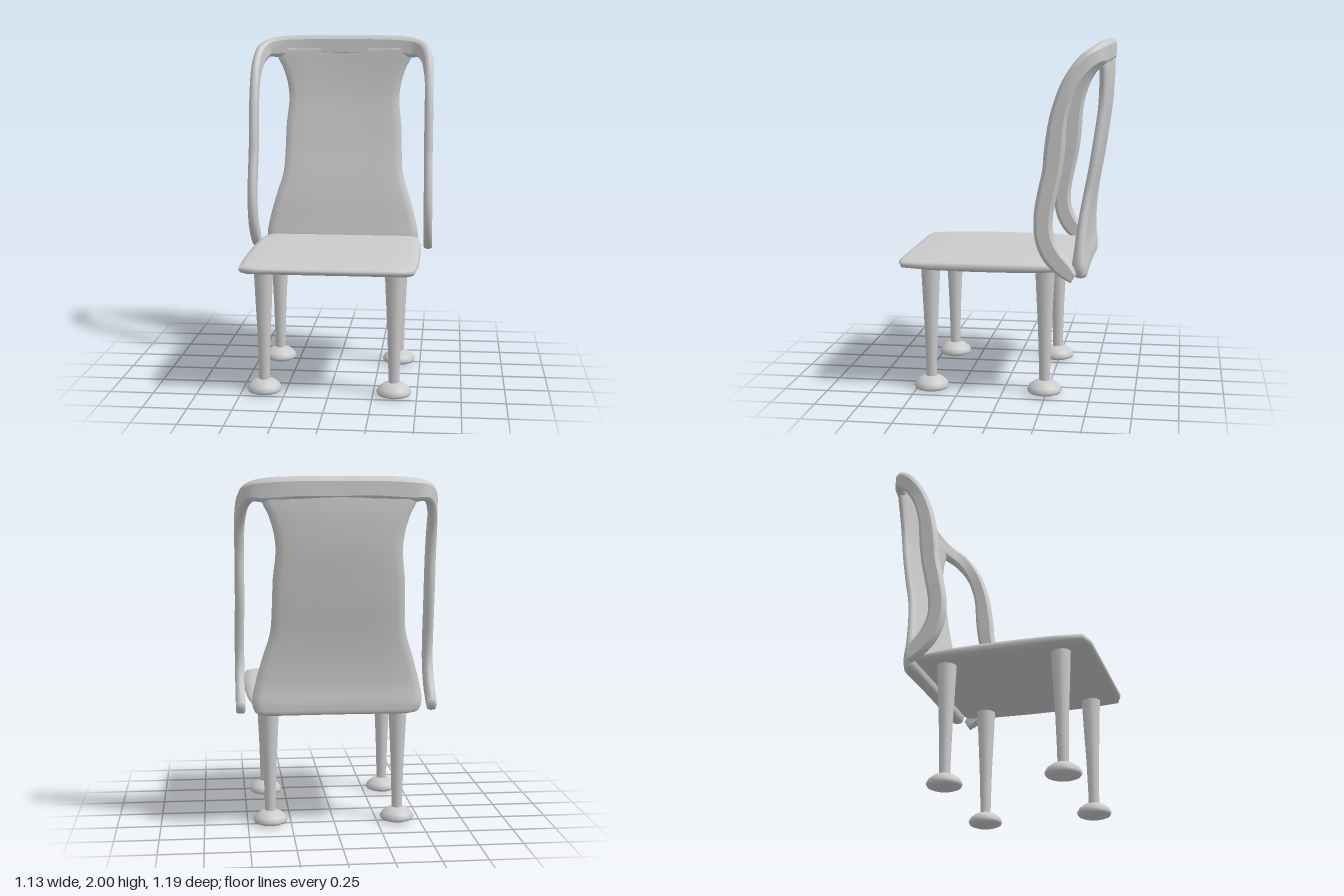
import * as THREE from 'three';

// Skin a list of closed rings (arrays of Vector3), capping both ends
function loft(rings) {
  const n = rings[0].length, pos = [], idx = [];
  rings.forEach(r => r.forEach(p => pos.push(p.x, p.y, p.z)));
  for (let i = 0; i < rings.length - 1; i++) {
    for (let j = 0; j < n; j++) {
      const a = i * n + j, b = i * n + (j + 1) % n;
      idx.push(a, b, b + n, a, b + n, a + n);
    }
  }
  [rings[0], rings[rings.length - 1]].forEach((r, end) => {
    const c = r.reduce((s, p) => s.add(p), new THREE.Vector3()).divideScalar(n);
    const ci = pos.length / 3, o = end ? (rings.length - 1) * n : 0;
    pos.push(c.x, c.y, c.z);
    for (let j = 0; j < n; j++) {
      const a = o + j, b = o + (j + 1) % n;
      if (end) idx.push(ci, a, b); else idx.push(ci, b, a);
    }
  });
  // Turn the faces outward if the rings run the other way
  const v = i => new THREE.Vector3().fromArray(pos, i * 3);
  let vol = 0;
  for (let i = 0; i < idx.length; i += 3) vol += v(idx[i]).dot(v(idx[i + 1]).cross(v(idx[i + 2])));
  if (vol < 0) idx.reverse();
  const g = new THREE.BufferGeometry();
  g.setAttribute('position', new THREE.Float32BufferAttribute(pos, 3));
  g.setIndex(idx);
  g.computeVertexNormals();
  return g;
}

// Thin slab section: half width w, half thickness t, rounded rim of width e
function slab(w, t, e) {
  const q = [[w, 0], [w - 0.2 * e, 0.6 * t], [w - e, t], [w * 0.6, t], [w * 0.3, t], [0, t]];
  const top = q.concat(q.slice(0, -1).reverse().map(([x, y]) => [-x, y]));
  return top.concat(top.slice(1, -1).reverse().map(([x, y]) => [x, -y]));
}

// Smooth rows of numbers into a denser list
function smoothRows(rows, per) {
  const a = new THREE.CatmullRomCurve3(rows.map(r => new THREE.Vector3(r[0], r[1], r[2])));
  const out = [], count = (rows.length - 1) * per;
  for (let i = 0; i <= count; i++) {
    const f = i / per, k = Math.min(Math.floor(f), rows.length - 2);
    const p = a.getPoint(i / count);
    out.push([p.x, p.y, p.z, THREE.MathUtils.lerp(rows[k][3], rows[k + 1][3], f - k)]);
  }
  return out;
}

export function createModel() {
  const group = new THREE.Group();
  const mat = new THREE.MeshStandardMaterial({ color: 0xcccccc });
  const add = (name, geo, x = 0, z = 0) => {
    const m = new THREE.Mesh(geo, mat);
    m.name = name;
    m.position.set(x, 0, z);
    group.add(m);
  };

  // Seat: [z, half width, half thickness]
  const seat = [[-0.405, 0.465, 0.012], [-0.39, 0.48, 0.022], [-0.2, 0.497, 0.032], [0, 0.503, 0.034],
    [0.2, 0.503, 0.034], [0.4, 0.502, 0.031], [0.56, 0.488, 0.024], [0.585, 0.42, 0.016], [0.592, 0.4, 0.006]];
  add('seat', loft(seat.map(([z, w, t]) =>
    slab(w, t, 0.05).map(([x, y]) => new THREE.Vector3(x, 0.745 + y, z)))));

  // Back panel: [height, half width, z, half thickness]
  const back = [[0.682, 0.40, -0.435, 0.02], [0.697, 0.455, -0.435, 0.037], [0.75, 0.475, -0.432, 0.043],
    [0.85, 0.46, -0.435, 0.032], [1.0, 0.42, -0.45, 0.027], [1.15, 0.375, -0.475, 0.025],
    [1.3, 0.365, -0.505, 0.025], [1.45, 0.36, -0.53, 0.025], [1.6, 0.345, -0.553, 0.025],
    [1.7, 0.355, -0.562, 0.025], [1.8, 0.385, -0.567, 0.025], [1.86, 0.415, -0.567, 0.024], [1.92, 0.425, -0.567, 0.022]];
  add('backPanel', loft(smoothRows(back, 3).map(([y, w, z, t]) => {
    const bend = THREE.MathUtils.lerp(-0.008, 0.018, (y - 0.7) / 1.2);
    return slab(w, t, 0.05).map(([x, d]) => new THREE.Vector3(x, y, z + d + bend * (x / w) ** 2));
  })));

  // Frame: outer rim and inner rim from top centre down the side [x, y, z, x, y, z]
  const rims = [
    [0, 2.0, -0.567, 0, 1.87, -0.567], [0.22, 2.0, -0.567, 0.22, 1.87, -0.567],
    [0.41, 1.99, -0.552, 0.40, 1.86, -0.55], [0.49, 1.965, -0.51, 0.465, 1.865, -0.535],
    [0.525, 1.92, -0.445, 0.5, 1.83, -0.49], [0.535, 1.84, -0.38, 0.525, 1.745, -0.43],
    [0.535, 1.75, -0.33, 0.533, 1.68, -0.402], [0.535, 1.6, -0.28, 0.535, 1.57, -0.375],
    [0.535, 1.42, -0.25, 0.535, 1.42, -0.365], [0.535, 1.3, -0.24, 0.535, 1.3, -0.35],
    [0.537, 1.17, -0.212, 0.537, 1.17, -0.323], [0.538, 1.03, -0.193, 0.538, 1.04, -0.3],
    [0.538, 0.9, -0.205, 0.538, 0.95, -0.305], [0.538, 0.8, -0.25, 0.538, 0.87, -0.34],
    [0.538, 0.72, -0.33, 0.538, 0.79, -0.405], [0.538, 0.685, -0.4, 0.538, 0.735, -0.43]];
  const curve = o => {
    const half = rims.map(r => new THREE.Vector3(r[o], r[o + 1], r[o + 2]));
    const other = half.slice(1).reverse().map(p => new THREE.Vector3(-p.x, p.y, p.z));
    return new THREE.CatmullRomCurve3(other.concat(half));
  };
  const outer = curve(0), inner = curve(3), steps = (rims.length - 1) * 6;
  const mid = t => outer.getPoint(t).add(inner.getPoint(t)).multiplyScalar(0.5);
  const rings = [];
  for (let i = 0; i <= steps; i++) {
    const t = i / steps, c = mid(t);
    const u = outer.getPoint(t).sub(c);
    const tangent = mid(Math.min(1, t + 0.004)).sub(mid(Math.max(0, t - 0.004)));
    const n = u.clone().cross(tangent).normalize().multiplyScalar(0.026);
    rings.push(slab(1, 1, 0.4).map(([a, b]) => c.clone().addScaledVector(u, a).addScaledVector(n, b)));
  }
  add('backFrame', loft(rings));

  // Tapered legs on domed feet
  const lathe = (pts, sides) => new THREE.LatheGeometry(pts.map(p => new THREE.Vector2(p[0], p[1])), sides);
  const leg = lathe([[0.031, 0.06], [0.032, 0.15], [0.038, 0.35], [0.05, 0.6], [0.056, 0.73]], 12);
  const foot = lathe([[0, 0], [0.07, 0.001], [0.092, 0.01], [0.1, 0.025], [0.088, 0.048],
    [0.06, 0.07], [0.03, 0.08], [0, 0.082]], 20);
  for (const [sx, side] of [[1, 'Left'], [-1, 'Right']]) {
    for (const [z, end] of [[0.415, 'front'], [-0.24, 'back']]) {
      add(`${end}${side}Leg`, leg, sx * 0.37, z);
      add(`${end}${side}Foot`, foot, sx * 0.37, z);
    }
  }
  return group;
}
